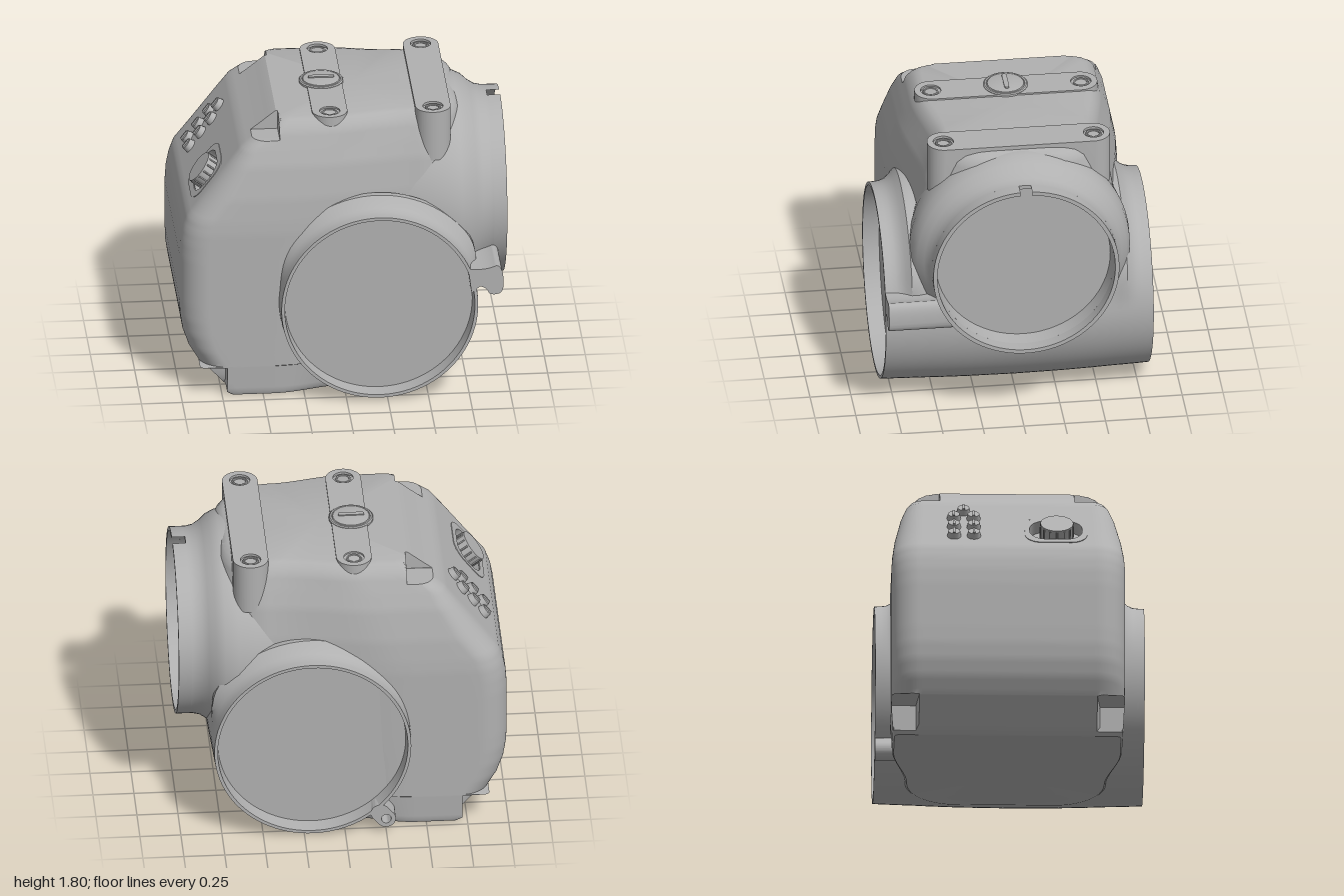
import * as THREE from 'three';
import { toCreasedNormals } from 'three/addons/utils/BufferGeometryUtils.js';

const ZC = -0.02; // centre plane of the housing
const { smoothstep, clamp, lerp } = THREE.MathUtils;
const castGrey = new THREE.MeshStandardMaterial({ color: 0xb0b0b0 });
castGrey.name = 'cast grey';

function add(parent, name, geo, x = 0, y = 0, z = 0) {
  const m = new THREE.Mesh(toCreasedNormals(geo, 0.55), castGrey);
  m.name = name;
  m.position.set(x, y, z);
  parent.add(m);
  return m;
}

// Rounded rectangle in plan, centred on (cx, cz)
function roundRect(cx, cz, hx, hz, r, Type = THREE.Shape) {
  const s = new Type(), y = -cz;
  s.absarc(cx + hx - r, y + hz - r, r, 0, Math.PI / 2);
  s.absarc(cx - hx + r, y + hz - r, r, Math.PI / 2, Math.PI);
  s.absarc(cx - hx + r, y - hz + r, r, Math.PI, Math.PI * 1.5);
  s.absarc(cx + hx - r, y - hz + r, r, Math.PI * 1.5, Math.PI * 2);
  s.closePath();
  return s;
}

// Plan shape raised upward from y = 0
const slab = (shape, h) =>
  new THREE.ExtrudeGeometry(shape, { depth: h, bevelEnabled: false, curveSegments: 16 }).rotateX(-Math.PI / 2);

const lathe = (pts, start = 0, len = Math.PI * 2) =>
  new THREE.LatheGeometry(pts.map(p => new THREE.Vector2(p[0], p[1])), 96, start, len);

// Samples across a section of half width w, with clean breaks at the pocket walls
function spread(w) {
  const b = Math.min(0.56, w * 0.93), half = [];
  for (let i = 1; i <= 16; i++) half.push(0.409 * i / 16);
  for (let i = 0; i <= 8; i++) half.push(lerp(0.411, b, i / 8));
  for (let i = 0; i <= 14; i++) half.push(lerp(b + 0.002, w, Math.sin(i / 28 * Math.PI)));
  return [...half.map(z => -z).reverse(), 0, ...half];
}

// Main casting: rounded plan sections stacked along y
function bodyGeometry() {
  // y, left x, right x, half width, left corner radius
  const keys = [
    [0.01, -0.70, 0.3, 0.69, 0.03], [0.03, -0.73, 0.35, 0.70, 0.03], [0.2, -0.885, 0.55, 0.71, 0.03],
    [0.205, -0.888, 0.55, 0.71, 0.17], [0.3, -0.945, 0.61, 0.71, 0.17], [0.4, -0.98, 0.66, 0.71, 0.17],
    [0.5, -0.996, 0.7, 0.71, 0.17], [0.6, -1, 0.72, 0.71, 0.17], [0.9, -1, 0.75, 0.71, 0.17],
    [1.0, -0.993, 0.75, 0.71, 0.17], [1.08, -0.978, 0.75, 0.71, 0.17], [1.16, -0.95, 0.75, 0.705, 0.17],
    [1.3, -0.845, 0.75, 0.69, 0.17], [1.5, -0.695, 0.75, 0.65, 0.13], [1.6, -0.62, 0.74, 0.615, 0.1],
    [1.7, -0.49, 0.73, 0.575, 0.09], [1.74, -0.44, 0.71, 0.545, 0.09], [1.76, -0.415, 0.68, 0.52, 0.09],
    [1.77, -0.40, 0.64, 0.49, 0.09],
  ];
  const levels = [0.195, 1.648, 1.652];
  keys.forEach((k, i) => {
    const next = keys[i + 1];
    if (!next) return levels.push(k[0]);
    const n = Math.ceil((next[0] - k[0]) / 0.03);
    for (let j = 0; j < n; j++) levels.push(k[0] + (next[0] - k[0]) * j / n);
  });
  levels.sort((a, b) => a - b);

  const inset = (z, w, r) => {
    const d = Math.abs(z) - (w - r);
    return d > 0 ? r - Math.sqrt(Math.max(0, r * r - d * d)) : 0;
  };
  const NS = 14, pos = [], idx = [];
  let count = 0;
  for (const y of levels) {
    let k = 0;
    while (k < keys.length - 2 && y > keys[k + 1][0]) k++;
    const t = (y - keys[k][0]) / (keys[k + 1][0] - keys[k][0]);
    const [xl, xr, w, rl] = [1, 2, 3, 4].map(c => lerp(keys[k][c], keys[k + 1][c], t));
    const rr = 0.3, w2 = w * 0.87, loop = [];
    // corner pockets near the top and the bottom
    const pocket = (x, z) => {
      if (y > 1.65 && Math.abs(z) > 0.41) return Math.max(x, -0.39);
      if (y < 0.2 && Math.abs(z) > w - 0.15) return Math.max(x, -0.72);
      return x;
    };
    for (const z of spread(w)) loop.push([pocket(xl + inset(z, w, rl), z), z]);
    const side = [];
    for (let i = 1; i < NS; i++) {
      const s = i / NS;
      side.push([pocket(lerp(xl + rl, xr - rr, s), w), lerp(w, w2, smoothstep(s, 0.35, 1))]);
    }
    loop.push(...side);
    for (const z of spread(w2).reverse()) loop.push([xr - inset(z, w2, rr), z]);
    loop.push(...side.reverse().map(p => [p[0], -p[1]]));
    count = loop.length;
    loop.forEach(p => pos.push(p[0], y, p[1] + ZC));
  }
  for (let j = 0; j < levels.length - 1; j++) for (let i = 0; i < count; i++) {
    const a = j * count + i, b = j * count + (i + 1) % count;
    // opening for the knob recess
    const cy = (levels[j] + levels[j + 1]) / 2, cz = (pos[a * 3 + 2] + pos[b * 3 + 2]) / 2;
    if (pos[a * 3] < -0.6 && Math.abs(cy - 1.332) < 0.1 && Math.abs(cz - 0.27) < 0.165) continue;
    idx.push(a, b, b + count, a, b + count, a + count);
  }
  // flat top and underside
  const top = (levels.length - 1) * count, c0 = pos.length / 3;
  pos.push(0.1, 1.77, ZC, -0.1, 0.01, ZC);
  for (let i = 0; i < count; i++) {
    const n = (i + 1) % count;
    idx.push(c0, top + i, top + n, c0 + 1, n, i);
  }
  const g = new THREE.BufferGeometry();
  g.setAttribute('position', new THREE.Float32BufferAttribute(pos, 3));
  g.setIndex(idx);
  return g;
}

// Cross barrel with recessed ends; it blends into the casting on the upper half
function barrelGeometry() {
  const half = [[0.617, 0.3], [0.612, 0.48], [0.61, 0.53], [0.608, 0.58], [0.607, 0.62], [0.606, 0.66], [0.605, 0.69],
    [0.604, 0.72], [0.603, 0.75], [0.602, 0.78], [0.6, 0.82], [0.58, 0.82], [0.572, 0.72], [0, 0.72]];
  const g = lathe([...half.map(p => [p[0], -p[1]]).reverse(), [0.62, 0], ...half]).rotateX(Math.PI / 2);
  const p = g.attributes.position;
  for (let i = 0; i < p.count; i++) {
    const x = p.getX(i), y = p.getY(i), z = Math.abs(p.getZ(i)), r = Math.hypot(x, y);
    if (r < 0.59 || z > 0.77) continue;
    const k = clamp((0.77 - z) / 0.11, 0, 1);
    const f = 1 + 0.12 * k * k * smoothstep(z, 0.5, 0.62) * smoothstep(y / r, 0.1, 0.6);
    p.setXY(i, x * f, y * f);
  }
  return g;
}

export function createModel() {
  const model = new THREE.Group();
  model.name = 'gear housing';
  add(model, 'mainCasting', bodyGeometry());
  add(model, 'crossBarrel', barrelGeometry(), 0.2, 0.625, 0);

  // Side port with a flared root and a slotted rim
  const port = new THREE.Group();
  port.name = 'sidePort';
  port.position.set(0, 1.09, -0.015);
  port.rotation.z = -Math.PI / 2;
  model.add(port);
  add(port, 'portNeck', lathe([[0.58, 0.25], [0.63, 0.4], [0.66, 0.53], [0.674, 0.64], [0.668, 0.72], [0.642, 0.775],
    [0.605, 0.815], [0.58, 0.855], [0.57, 0.9], [0.57, 0.92], [0.545, 0.92], [0.535, 0.825], [0, 0.825]]));
  add(port, 'portRim', lathe([[0.57, 0.92], [0.57, 1], [0.545, 1], [0.545, 0.92]], -Math.PI / 2 + 0.064, Math.PI * 2 - 0.128));

  // Front lug beside the barrel, its inner end following the port wall
  const lug = new THREE.Shape();
  lug.moveTo(0.76, 0.70);
  lug.lineTo(0.81, 0.745);
  lug.quadraticCurveTo(0.85, 0.74, 0.865, 0.70);
  lug.quadraticCurveTo(0.89, 0.68, 0.93, 0.695);
  lug.quadraticCurveTo(0.955, 0.71, 0.955, 0.76);
  lug.quadraticCurveTo(0.955, 0.88, 0.91, 0.88);
  lug.quadraticCurveTo(0.85, 0.85, 0.74, 0.86);
  const lugGeo = new THREE.ExtrudeGeometry(lug, { depth: 0.82, bevelEnabled: false });
  const lp = lugGeo.attributes.position;
  for (let i = 0; i < lp.count; i++) {
    if (lp.getZ(i) < 0.01) lp.setZ(i, Math.sqrt(0.558 ** 2 - (1.09 - lp.getY(i)) ** 2) - 0.015);
  }
  add(model, 'frontLug', lugGeo);

  // Rear lug with a bolt eye, below the barrel
  const eye = roundRect(0, 0, 0.085, 0.058, 0.057);
  eye.holes.push(new THREE.Path().absarc(-0.028, 0, 0.03, 0, Math.PI * 2));
  const rearLug = add(model, 'rearLug', new THREE.ExtrudeGeometry(eye, { depth: 0.13, bevelEnabled: false }), -0.23, 0.13, -0.82);
  rearLug.rotation.z = 0.854;

  // Two mounting bars across the top, with counterbored bolt holes
  for (const [name, x, base, top] of [['leftBar', 0.555, 1.47, 1.79], ['rightBar', -0.075, 1.68, 1.78]]) {
    const bar = new THREE.Group();
    bar.name = name + 'Group';
    bar.position.set(x, 0, ZC);
    model.add(bar);
    add(bar, name, slab(roundRect(0, 0, 0.108, 0.56, 0.107), top - 0.015 - base), 0, base, 0);
    const plate = roundRect(0, 0, 0.108, 0.56, 0.107);
    for (const z of [-0.46, 0.46]) {
      plate.holes.push(new THREE.Path().absarc(0, -z, 0.062, 0, Math.PI * 2));
      add(bar, 'boltSeat', new THREE.TorusGeometry(0.042, 0.008, 8, 32).rotateX(Math.PI / 2), 0, top - 0.012, z);
    }
    add(bar, name + 'Top', slab(plate, 0.015), 0, top - 0.015, 0);
  }

  // Filler cap
  add(model, 'fillerCap', lathe([[0.135, 1.74], [0.135, 1.783], [0.128, 1.789], [0.118, 1.789], [0.115, 1.785],
    [0.111, 1.791], [0.07, 1.799], [0, 1.802]]), -0.09, 0, ZC);
  add(model, 'capGrip', slab(roundRect(0, 0, 0.08, 0.015, 0.0149), 0.014), -0.09, 1.793, ZC);

  // Sloping control face
  const slope = new THREE.Group();
  slope.name = 'controlFace';
  slope.position.set(-0.803, 1.356, 0);
  slope.rotation.z = Math.atan2(0.8, 0.6);
  model.add(slope);
  const studs = [[0.19, -0.29]];
  for (const u of [-0.11, 0, 0.11]) studs.push([u, -0.35], [u, -0.23]);
  for (const [u, z] of studs) {
    add(slope, 'stud', new THREE.CylinderGeometry(0.036, 0.046, 0.05, 12), u, 0.01, z);
    add(slope, 'studRidge', new THREE.BoxGeometry(0.06, 0.014, 0.014), u, 0.037, z);
  }
  // Recess with a ridged knob
  const frame = roundRect(-0.03, 0.27, 0.155, 0.19, 0.1);
  frame.holes.push(roundRect(-0.03, 0.27, 0.115, 0.16, 0.1, THREE.Path));
  add(slope, 'recessWall', slab(frame, 0.085), 0, -0.081, 0);
  add(slope, 'recessFloor', new THREE.BoxGeometry(0.29, 0.02, 0.36), -0.03, -0.085, 0.27);
  add(slope, 'knob', new THREE.CylinderGeometry(0.1, 0.1, 0.13, 28), -0.03, -0.015, 0.275);
  for (let i = 0; i < 14; i++) {
    const a = i / 14 * Math.PI * 2;
    add(slope, 'knobRib', new THREE.CylinderGeometry(0.006, 0.006, 0.11, 6),
      -0.03 + 0.1 * Math.cos(a), -0.015, 0.275 + 0.1 * Math.sin(a));
  }
  return model;
}
